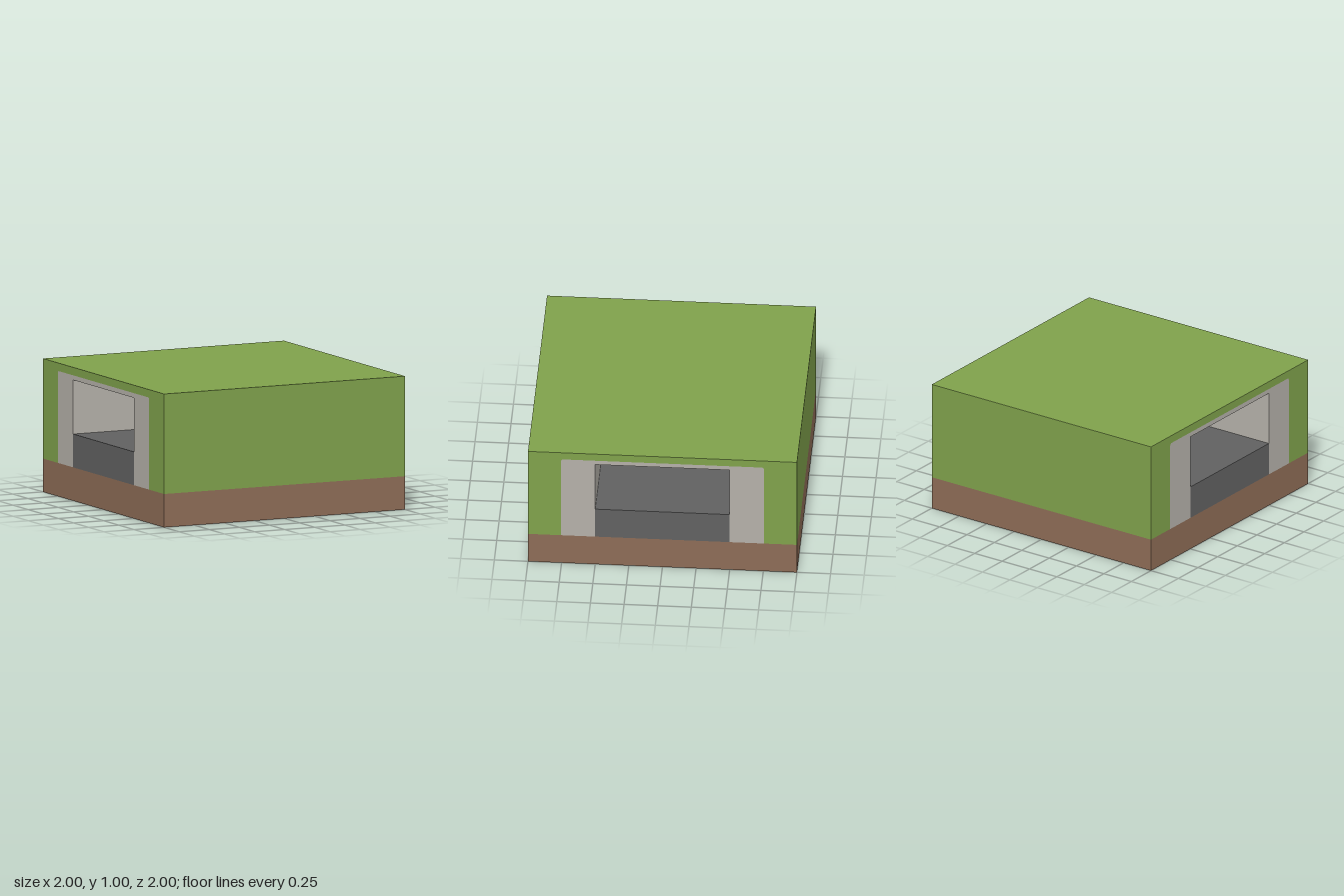
import * as THREE from 'three';

const mat = (name, color) => new THREE.MeshStandardMaterial({ name, color, side: THREE.DoubleSide });

export function createModel() {
  const grass = mat('grass', 0x7fa14b);
  const earth = mat('earth', 0x8d6c56);
  const stone = mat('stone', 0xb4b0a9);
  const road = mat('road', 0x616161);

  const BASE = 0.25, DECK = 0.5, CEIL = 0.905; // heights of earth band, road and tunnel ceiling
  const HALF = 0.5, FRAME = 0.755, FRAME_TOP = 0.94, R = 0.015; // tunnel and portal half widths

  const model = new THREE.Group();
  model.name = 'tunnelBlock';

  function add(parent, name, geometry, material) {
    const mesh = new THREE.Mesh(geometry, material);
    mesh.name = name;
    parent.add(mesh);
    return mesh;
  }
  // Upright panel facing +z, from height y0 to y1
  const panel = (w, y0, y1) => new THREE.PlaneGeometry(w, y1 - y0).translate(0, (y0 + y1) / 2, 0);
  // Level sheet facing up (or down)
  const sheet = (d, y, down) => new THREE.PlaneGeometry(2, d).rotateX(down ? Math.PI / 2 : -Math.PI / 2).translate(0, y, 0);

  // Outline of the stone portal with slightly rounded top corners
  const arch = [[-FRAME, BASE], [-FRAME, FRAME_TOP - R], [-FRAME + R * 0.3, FRAME_TOP - R * 0.3], [-FRAME + R, FRAME_TOP],
    [FRAME - R, FRAME_TOP], [FRAME - R * 0.3, FRAME_TOP - R * 0.3], [FRAME, FRAME_TOP - R], [FRAME, BASE]];
  const flat = (points) => new THREE.ShapeGeometry(new THREE.Shape(points.map(([x, y]) => new THREE.Vector2(x, y))));

  add(model, 'grassTop', sheet(2, 1, false), grass);

  // Closed front and back walls
  for (const [name, turn] of [['front', 0], ['back', Math.PI]]) {
    const wall = new THREE.Group();
    wall.name = name + 'Wall';
    wall.rotation.y = turn;
    add(wall, 'grassWall', panel(2, BASE, 1).translate(0, 0, 1), grass);
    add(wall, 'earthBand', panel(2, 0, BASE).translate(0, 0, 1), earth);
    model.add(wall);
  }

  // Left and right walls with the tunnel portals
  for (const [name, turn] of [['left', Math.PI / 2], ['right', -Math.PI / 2]]) {
    const wall = new THREE.Group();
    wall.name = name + 'Portal';
    wall.rotation.y = turn;
    const parts = [
      ['grassSurround', flat([[-1, BASE], [-1, 1], [1, 1], [1, BASE], ...arch.slice().reverse()]), grass],
      ['stoneFrame', flat([...arch, [HALF, BASE], [HALF, CEIL], [-HALF, CEIL], [-HALF, BASE]]), stone],
      ['roadEnd', panel(2 * HALF, BASE, DECK), road],
      ['earthBand', panel(2, 0, BASE), earth],
    ];
    for (const [part, geometry, material] of parts) add(wall, part, geometry.translate(0, 0, 1), material);
    model.add(wall);
  }

  // Tunnel lining running from side to side
  add(model, 'roadDeck', sheet(2 * HALF, DECK, false), road);
  add(model, 'tunnelCeiling', sheet(2 * HALF, CEIL, true), stone);
  for (const s of [-1, 1]) {
    const side = panel(2, DECK, CEIL).rotateY(s > 0 ? Math.PI : 0).translate(0, 0, s * HALF);
    add(model, s > 0 ? 'tunnelFrontWall' : 'tunnelBackWall', side, stone);
  }
  return model;
}
